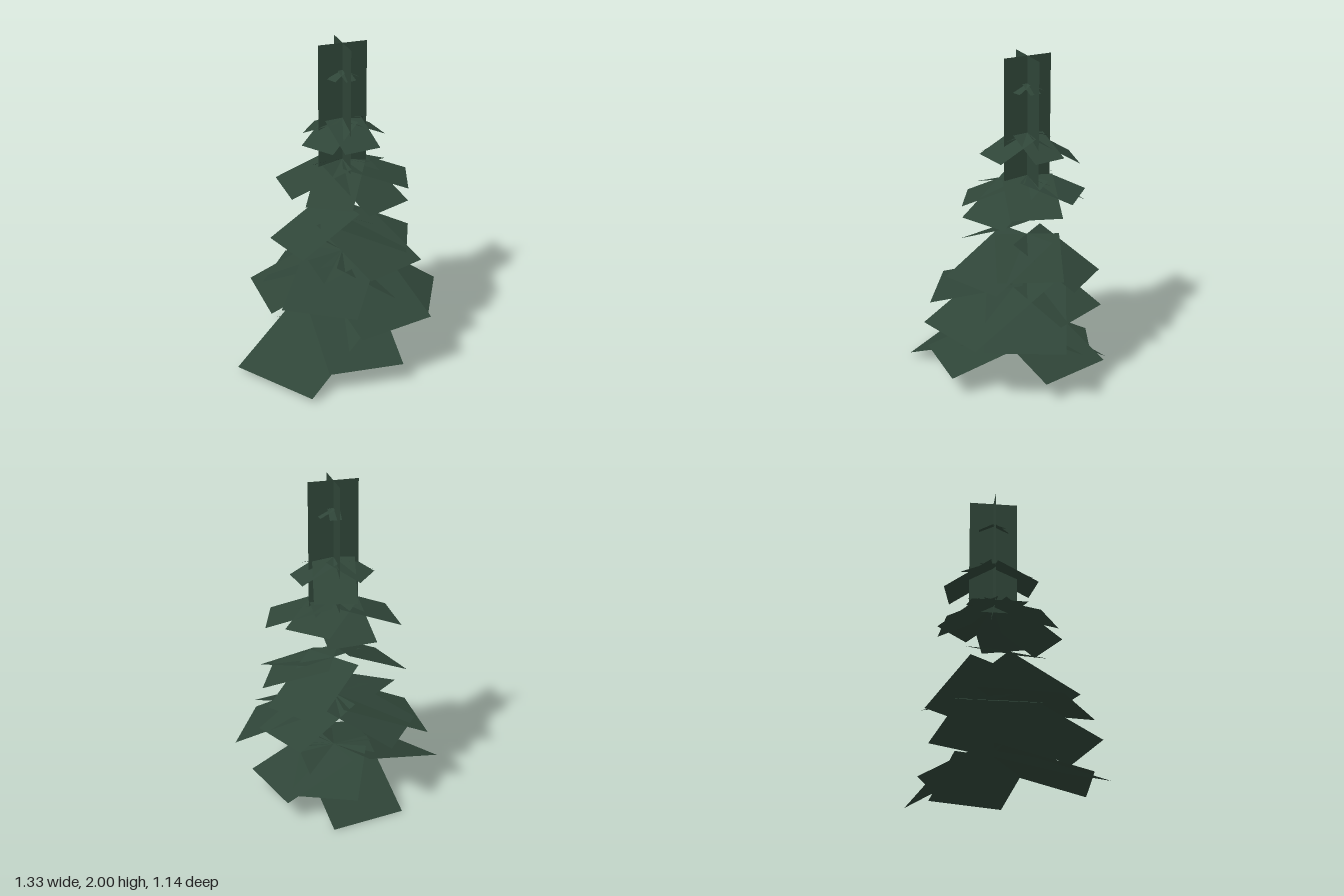
import * as THREE from 'three';

// Tiers from the ground up: inner height, then branches as
// [heading in degrees from the front, reach, width, outer height]
const TIERS = [
  { top: 0.295, branches: [
    [-56, 0.68, 0.58, 0.03], [-4, 0.57, 0.46, 0.13], [105, 0.45, 0.47, 0.13],
    [157, 0.39, 0.4, 0.14], [192, 0.46, 0.46, 0] ] },
  { top: 0.65, branches: [
    [-90, 0.53, 0.47, 0.425], [-33, 0.56, 0.46, 0.505], [14, 0.6, 0.5, 0.39],
    [63, 0.56, 0.48, 0.37], [115, 0.42, 0.4, 0.47], [-126, 0.45, 0.43, 0.465] ] },
  { top: 0.89, branches: [
    [22, 0.49, 0.41, 0.71], [67, 0.4, 0.39, 0.75], [128, 0.4, 0.37, 0.66] ] },
  { top: 0.97, branches: [ [-74, 0.41, 0.36, 0.78] ] },
  { top: 1.27, branches: [
    [-90, 0.37, 0.335, 1.13], [-31, 0.375, 0.28, 1.11], [24, 0.4, 0.32, 1.08],
    [72, 0.39, 0.305, 1.14], [137, 0.32, 0.29, 1.17], [186, 0.315, 0.3, 1.1] ] },
  { top: 1.535, branches: [
    [-56, 0.245, 0.23, 1.41], [8, 0.26, 0.23, 1.42], [98, 0.235, 0.2, 1.425],
    [168, 0.29, 0.25, 1.36], [-129, 0.215, 0.205, 1.445] ] },
];

// Rectangular card sloping from the central axis down to its outer edge
function branchGeometry(top, [heading, reach, width, outer]) {
  const drop = top - outer;
  return new THREE.PlaneGeometry(width, Math.hypot(reach, drop))
    .rotateX(Math.atan2(drop, reach) - Math.PI / 2)
    .translate(0, (top + outer) / 2, reach / 2)
    .rotateY(THREE.MathUtils.degToRad(heading));
}

export function createModel() {
  const model = new THREE.Group();
  model.name = 'conifer';
  const needleGreen = new THREE.MeshStandardMaterial({ color: 0x2f4538, side: THREE.DoubleSide });
  needleGreen.name = 'needleGreen';

  // Everything hangs from one slightly off-centre axis
  const tree = new THREE.Group();
  tree.name = 'tree';
  tree.position.set(0.06, 0, -0.085);
  model.add(tree);

  const addTier = (name, top, branches) => {
    const tier = new THREE.Group();
    tier.name = name;
    for (const spec of branches) {
      const branch = new THREE.Mesh(branchGeometry(top, spec), needleGreen);
      branch.name = 'branch';
      tier.add(branch);
    }
    tree.add(tier);
  };

  // Drooping branches
  TIERS.forEach(({ top, branches }, i) => addTier(`branchTier${i + 1}`, top, branches));

  // Small sprigs near the tip
  const sprigs = Array.from({ length: 4 }, (_, i) => [-65 + 80 * i, 0.09, 0.07, 1.79]);
  addTier('tipSprigs', 1.835, sprigs);

  // Crossed upright cards forming the treetop
  const bottom = 1.23, tip = 2;
  for (const turn of [0, Math.PI / 2]) {
    const card = new THREE.Mesh(new THREE.PlaneGeometry(0.3, tip - bottom), needleGreen);
    card.name = 'treetopCard';
    card.position.y = (tip + bottom) / 2;
    card.rotation.y = turn;
    tree.add(card);
  }
  return model;
}
